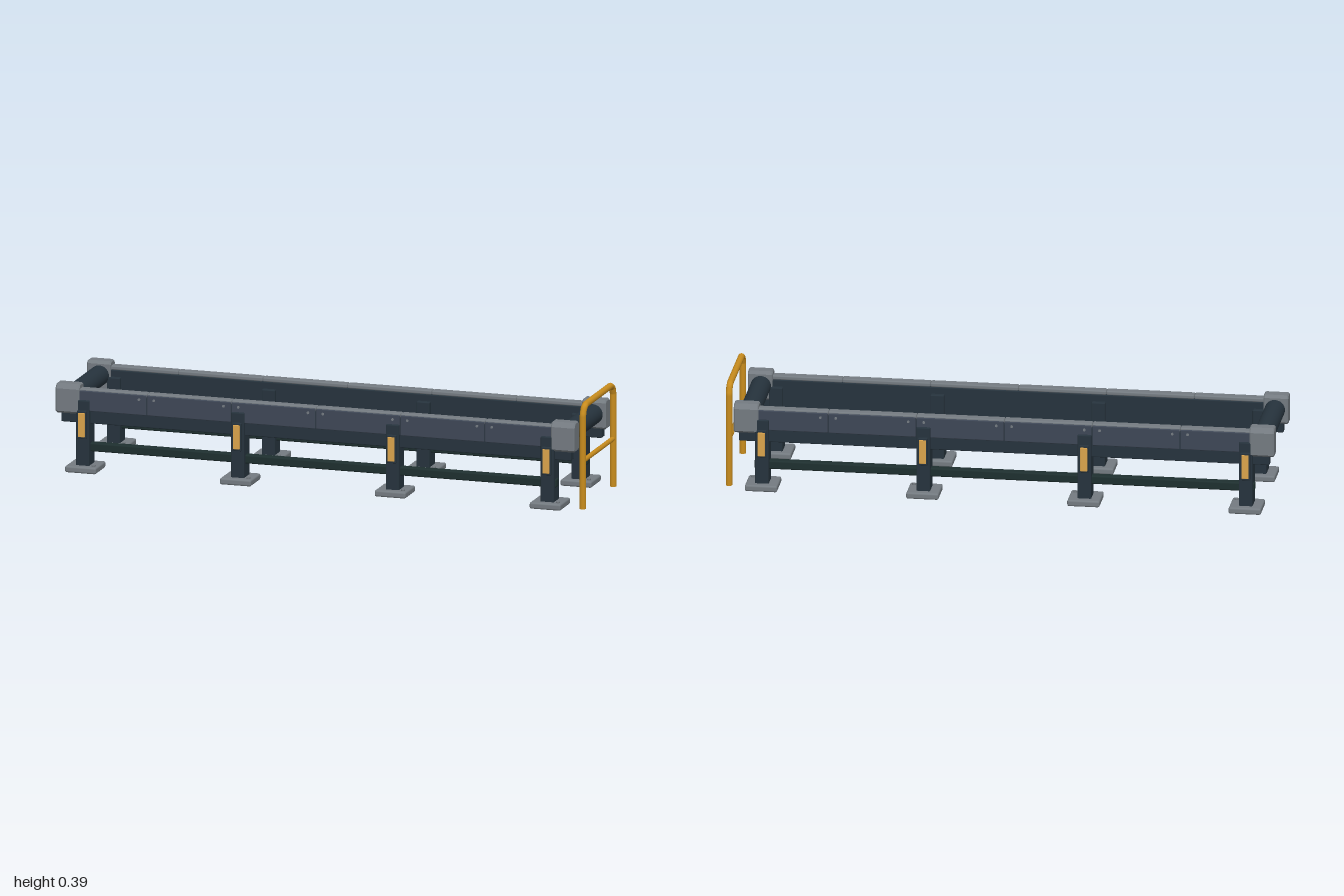
import * as THREE from 'three';
import { RoundedBoxGeometry } from 'three/addons/geometries/RoundedBoxGeometry.js';

const mat = (name, color) => Object.assign(new THREE.MeshStandardMaterial({ color }), { name });

export function createModel() {
  const steel = mat('dark steel', 0x26333d);
  const railPaint = mat('dark green rail', 0x1e2f2f);
  const slate = mat('slate panel', 0x3e4756);
  const grey = mat('grey metal', 0x747b81);
  const yellow = mat('safety yellow', 0xc98d1e);
  const amber = mat('amber reflector', 0xdba44c);

  const model = new THREE.Group();
  model.name = 'conveyorFrame';
  // Everything but the guard rail is symmetric about x = -0.017
  const frame = new THREE.Group();
  frame.name = 'frame';
  frame.position.x = -0.017;
  model.add(frame);

  const add = (parent, name, geometry, material, x, y, z) => {
    const mesh = new THREE.Mesh(geometry, material);
    mesh.name = name;
    mesh.position.set(x, y, z);
    parent.add(mesh);
    return mesh;
  };
  const box = (parent, name, material, size, pos, r = 0) => add(parent, name,
    r ? new RoundedBoxGeometry(...size, 2, r) : new THREE.BoxGeometry(...size), material, ...pos);

  // Chamfered end cap: outer top edge cut off
  const capShape = new THREE.Shape([
    [0.157, 0.222], [0.165, 0.216], [0.202, 0.216], [0.209, 0.222],
    [0.209, 0.302], [0.197, 0.317], [0.165, 0.317], [0.157, 0.309],
  ].map(([z, y]) => new THREE.Vector2(-z, y)));
  const capGeo = new THREE.ExtrudeGeometry(capShape, {
    depth: 0.08, bevelEnabled: true, bevelSize: 0.004, bevelThickness: 0.005, bevelSegments: 1,
  });
  capGeo.translate(0, 0, -0.04);
  capGeo.rotateY(Math.PI / 2); // shape x becomes -z

  const boltGeo = new THREE.CylinderGeometry(0.005, 0.005, 0.004, 10);
  const panels = 6, pitch = 0.32;

  // Long sides: the second is the first turned to face the back
  for (const s of [1, -1]) {
    const side = new THREE.Group();
    side.name = s > 0 ? 'frontSide' : 'backSide';
    if (s < 0) side.rotation.y = Math.PI;
    frame.add(side);

    box(side, 'beam', steel, [1.93, 0.112, 0.036], [0, 0.234, 0.18], 0.004);
    box(side, 'lowerRail', railPaint, [1.82, 0.032, 0.032], [0, 0.09, 0.18], 0.006);

    // Cover panels with a grey top strip and two bolts each
    for (let i = 0; i < panels; i++) {
      const x = (i - (panels - 1) / 2) * pitch;
      box(side, 'coverPanel', slate, [pitch - 0.003, 0.074, 0.008], [x, 0.262, 0.2], 0.003);
      box(side, 'topStrip', grey, [pitch, 0.016, 0.036], [x, 0.297, 0.181], 0.005);
      for (const b of [-1, 1]) {
        add(side, 'panelBolt', boltGeo, grey, x + b * 0.132, 0.283, 0.205).rotation.x = Math.PI / 2;
      }
    }

    for (const e of [-1, 1]) add(side, 'endCap', capGeo, grey, e * 0.938, 0, 0);

    // Legs with foot plates and reflectors
    for (const x of [-0.88, -0.293, 0.293, 0.88]) {
      const leg = new THREE.Group();
      leg.name = 'leg';
      leg.position.x = x;
      side.add(leg);
      box(leg, 'post', steel, [0.05, 0.248, 0.067], [0, 0.141, 0.179], 0.004);
      box(leg, 'foot', grey, [0.118, 0.024, 0.118], [0, 0.012, 0.18], 0.007);
      add(leg, 'footBolt', new THREE.CylinderGeometry(0.007, 0.007, 0.006, 10), grey, s * 0.042, 0.026, 0.18 + s * 0.034);
      box(leg, 'reflectorBacking', steel, [0.036, 0.104, 0.012], [0, 0.177, 0.218], 0.003);
      box(leg, 'reflector', amber, [0.026, 0.09, 0.005], [0, 0.177, 0.2255], 0.002);
    }
  }

  // End rollers
  for (const e of [-1, 1]) {
    add(frame, 'endRoller', new THREE.CylinderGeometry(0.037, 0.037, 0.33, 24), steel, e * 0.935, 0.268, 0)
      .rotation.x = Math.PI / 2;
  }

  // Guard hoop at the +x end
  const guard = new THREE.Group();
  guard.name = 'guardRail';
  guard.position.x = 0.987;
  model.add(guard);
  const half = [[0, 0.177], [0.342, 0.177], [0.368, 0.167], [0.38, 0.145]];
  const points = [
    ...half.map(([y, z]) => new THREE.Vector3(0, y, z)),
    ...[...half].reverse().map(([y, z]) => new THREE.Vector3(0, y, -z)),
  ];
  const path = new THREE.CurvePath();
  for (let i = 1; i < points.length; i++) path.add(new THREE.LineCurve3(points[i - 1], points[i]));
  add(guard, 'hoop', new THREE.TubeGeometry(path, 120, 0.012, 12), yellow, 0, 0, 0);
  for (const z of [-0.177, 0.177]) {
    add(guard, 'hoopEnd', new THREE.CircleGeometry(0.012, 12), yellow, 0, 0, z).rotation.x = Math.PI / 2;
  }
  add(guard, 'crossBar', new THREE.CylinderGeometry(0.009, 0.009, 0.35, 12), yellow, 0, 0.177, 0)
    .rotation.x = Math.PI / 2;

  return model;
}
